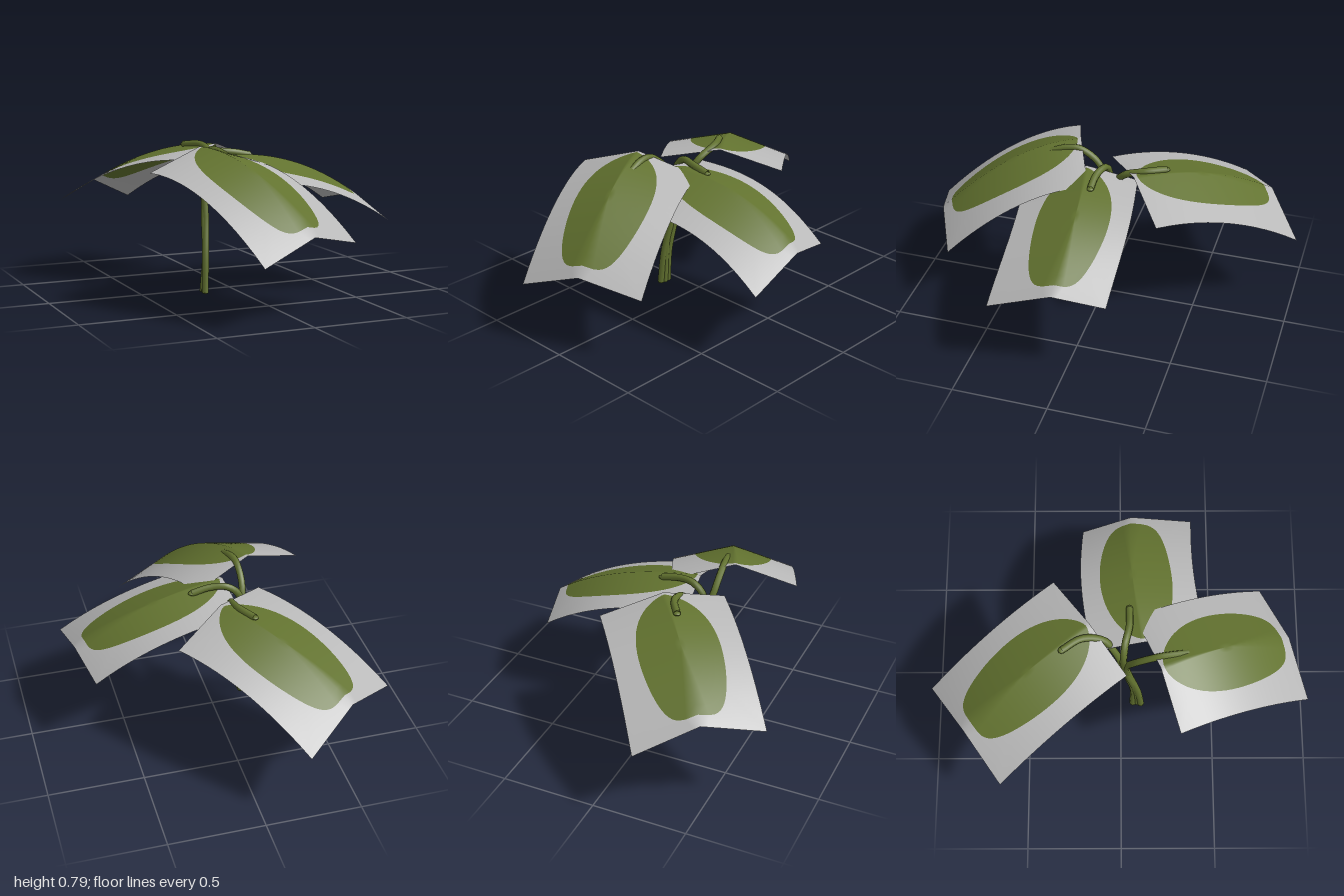
import * as THREE from 'three';

const leafGreen = new THREE.MeshStandardMaterial({ color: 0x62722f, side: THREE.DoubleSide });
leafGreen.name = 'leaf green';
const sheetGrey = new THREE.MeshStandardMaterial({ color: 0xb8b8b8, side: THREE.DoubleSide });
sheetGrey.name = 'sheet grey';

const SPOKES = 64, INNER = 8, OUTER = 6;

// Drooping, ridged sheet: base and tip are [left, middle, right] points
function sheetPoint({ base, tip, droop, bow = 0 }, s, w) {
  const t = (s + 1) / 2, side = w < 0 ? 0 : 2, k = Math.abs(w);
  const across = (row, p) => new THREE.Vector3(...row[1]).lerp(new THREE.Vector3(...row[side]), p);
  const a = across(base, k), b = across(tip, k);
  const p = a.clone().lerp(b, t);
  p.y = a.y + (b.y - a.y) * Math.pow(t, droop);
  p.z += bow * Math.sin(Math.PI * t);
  return p;
}

// Leaf outline, narrow at the base and full at the tip (s along, w across)
function leafOutline(a) {
  const c = Math.cos(a), n = Math.sin(a);
  const power = 0.85 + 0.3 * c;
  return [-0.04 - 0.91 * c, 0.63 * Math.sign(n) * Math.pow(Math.abs(n), power)];
}

// Edge of the rectangular sheet
function sheetEdge(a) {
  const c = Math.cos(a), n = Math.sin(a), m = Math.max(Math.abs(c), Math.abs(n));
  return [-c / m, n / m];
}

// Rings from the leaf centre to its outline, then out to the sheet edge
function makeLeaf(name, spec) {
  const positions = [], index = [];
  const push = (s, w) => positions.push(...sheetPoint(spec, s, w).toArray());
  push(-0.04, 0);
  for (let r = 1; r <= INNER + OUTER; r++) {
    for (let j = 0; j < SPOKES; j++) {
      const a = (j / SPOKES) * Math.PI * 2;
      const [s, w] = leafOutline(a), [es, ew] = sheetEdge(a);
      if (r <= INNER) {
        const f = r / INNER;
        push(-0.04 + (s + 0.04) * f, w * f);
      } else {
        const f = (r - INNER) / OUTER;
        push(s + (es - s) * f, w + (ew - w) * f);
      }
    }
  }
  const at = (r, j) => 1 + (r - 1) * SPOKES + (j % SPOKES);
  for (let j = 0; j < SPOKES; j++) index.push(0, at(1, j + 1), at(1, j));
  let greenCount = 0;
  for (let r = 1; r < INNER + OUTER; r++) {
    if (r === INNER) greenCount = index.length;
    for (let j = 0; j < SPOKES; j++) {
      const a = at(r, j), b = at(r, j + 1), c = at(r + 1, j + 1), d = at(r + 1, j);
      index.push(a, b, c, a, c, d);
    }
  }
  const geometry = new THREE.BufferGeometry();
  geometry.setAttribute('position', new THREE.Float32BufferAttribute(positions, 3));
  geometry.setIndex(index);
  geometry.addGroup(0, greenCount, 0);
  geometry.addGroup(greenCount, index.length - greenCount, 1);
  geometry.computeVertexNormals();
  const mesh = new THREE.Mesh(geometry, [leafGreen, sheetGrey]);
  mesh.name = name;
  return mesh;
}

// Round stalk with closed, slightly domed ends
function makeStem(name, radius, points) {
  const group = new THREE.Group();
  group.name = name;
  const path = new THREE.CatmullRomCurve3(points.map(p => new THREE.Vector3(...p)));
  group.add(new THREE.Mesh(new THREE.TubeGeometry(path, 40, radius, 8), leafGreen));
  for (const p of [points[0], points[points.length - 1]]) {
    const cap = new THREE.Mesh(new THREE.SphereGeometry(radius, 8, 6), leafGreen);
    cap.position.set(...p);
    cap.scale.y = 0.5;
    group.add(cap);
  }
  return group;
}

export function createModel() {
  const model = new THREE.Group();
  model.name = 'plant';

  model.add(makeLeaf('frontLeaf', {
    base: [[-0.56, 0.68, 0.30], [-0.25, 0.79, 0.20], [0.06, 0.70, 0.07]],
    tip: [[-0.26, 0.30, 1.0], [0.05, 0.41, 0.90], [0.35, 0.34, 0.76]],
    droop: 1.9,
  }));
  model.add(makeLeaf('sideLeaf', {
    base: [[-0.05, 0.61, 0.45], [-0.09, 0.73, 0.12], [-0.12, 0.67, -0.15]],
    tip: [[0.755, 0.37, 0.39], [0.73, 0.48, 0.06], [0.67, 0.42, -0.205]],
    droop: 2.3, bow: -0.03,
  }));
  model.add(makeLeaf('backLeaf', {
    base: [[0.27, 0.66, -0.35], [0.0, 0.76, -0.16], [-0.26, 0.70, 0.03]],
    tip: [[-0.22, 0.38, -1.0], [-0.49, 0.51, -0.81], [-0.755, 0.43, -0.62]],
    droop: 2,
  }));

  // Three stalks bundled at the foot, each arching over its leaf
  model.add(makeStem('frontStem', 0.019, [
    [-0.185, 0.01, 0.11], [-0.175, 0.2, 0.09], [-0.155, 0.4, 0.045], [-0.16, 0.55, 0.03],
    [-0.185, 0.69, 0.08], [-0.185, 0.765, 0.18], [-0.175, 0.77, 0.25], [-0.155, 0.745, 0.34],
  ]));
  model.add(makeStem('sideStem', 0.019, [
    [-0.18, 0.01, 0.067], [-0.165, 0.2, 0.067], [-0.15, 0.4, 0.03], [-0.155, 0.55, 0.015],
    [-0.15, 0.68, 0.015], [-0.09, 0.735, 0.025], [0.0, 0.735, 0.045], [0.1, 0.715, 0.045],
  ]));
  model.add(makeStem('backStem', 0.019, [
    [-0.178, 0.01, 0.09], [-0.17, 0.2, 0.08], [-0.16, 0.4, 0.04], [-0.145, 0.53, 0.01],
    [-0.11, 0.64, -0.03], [-0.075, 0.72, -0.09], [-0.08, 0.755, -0.2], [-0.14, 0.75, -0.3],
  ]));
  return model;
}
